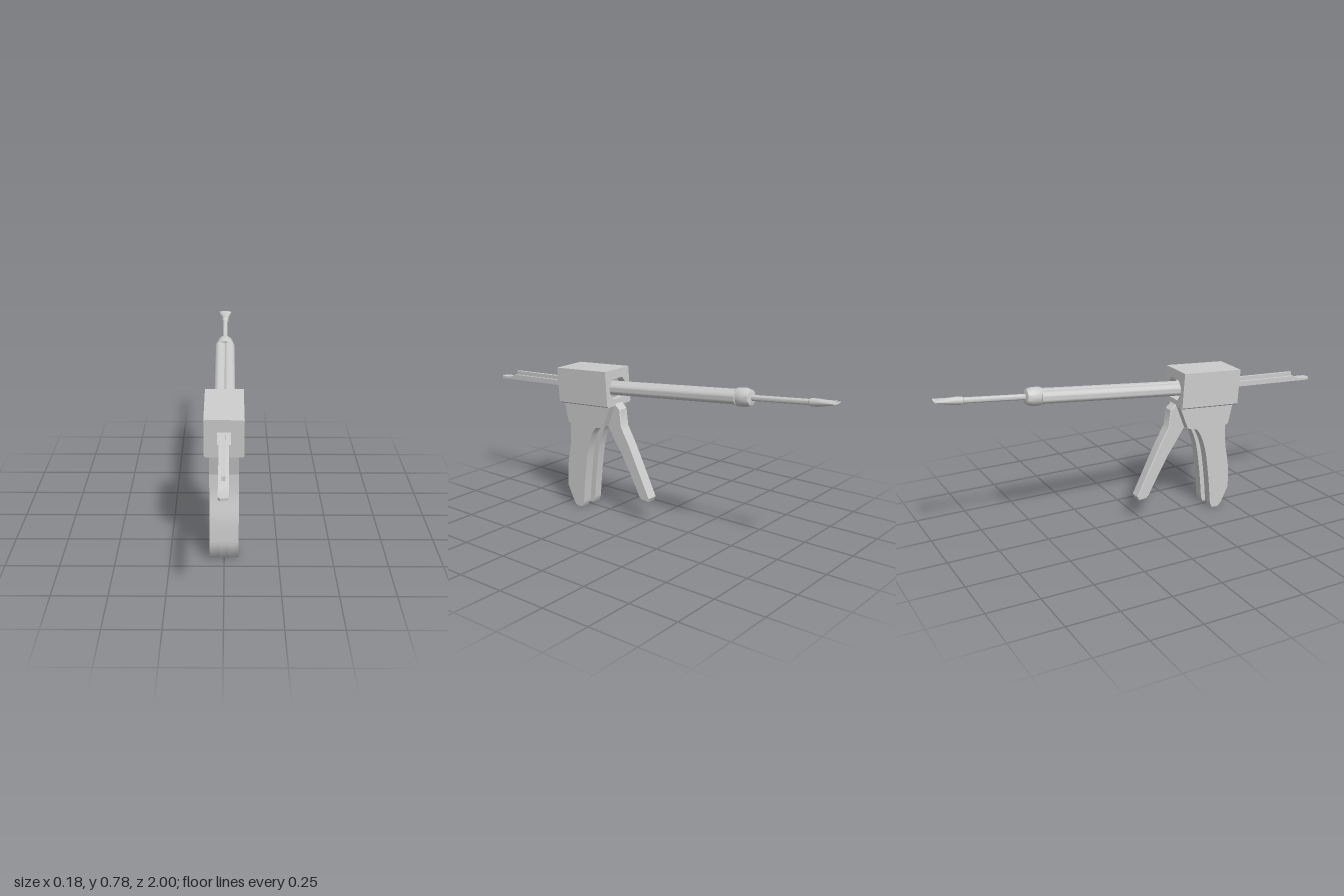
import * as THREE from 'three';
import { toCreasedNormals } from 'three/addons/utils/BufferGeometryUtils.js';

const material = new THREE.MeshStandardMaterial({ color: 0xcccccc });
const openMaterial = new THREE.MeshStandardMaterial({ color: 0xcccccc, side: THREE.DoubleSide });

function addMesh(parent, name, geometry, mat = material) {
  const mesh = new THREE.Mesh(geometry, mat);
  mesh.name = name;
  parent.add(mesh);
  return mesh;
}

const points = (list) => list.map(([a, b]) => new THREE.Vector2(a, b));

// Extrude a side outline of (z, y) points across x, centred on x
function sideProfile(shape, width, x = 0, bevel = 0) {
  const geometry = new THREE.ExtrudeGeometry(shape, {
    depth: width - 2 * bevel, bevelEnabled: bevel > 0, bevelSize: bevel,
    bevelThickness: bevel, bevelOffset: -bevel, bevelSegments: 1, curveSegments: 8,
  });
  geometry.translate(0, 0, -width / 2 + bevel);
  geometry.rotateY(-Math.PI / 2);
  geometry.translate(x, 0, 0);
  return toCreasedNormals(geometry, 0.5);
}

// Revolve (radius, distance) points so that distance runs towards -z
function turned(list, segments = 24) {
  const geometry = new THREE.LatheGeometry(points(list), segments);
  geometry.rotateX(-Math.PI / 2);
  return toCreasedNormals(geometry, 0.6);
}

// Grip outline; inset pushes the rear edge forward to leave the groove
function gripShape(inset) {
  const shape = new THREE.Shape();
  shape.moveTo(0.493, 0.56);
  shape.lineTo(0.466, 0.447);
  shape.lineTo(0.45, 0.44);
  shape.splineThru(points([[0.454, 0.34], [0.474, 0.22], [0.478, 0.1]]));
  shape.lineTo(0.435, 0.014);
  shape.lineTo(0.417, 0);
  shape.lineTo(0.383 + inset * 0.7, 0.002);
  shape.lineTo(0.372 + inset, 0.025);
  shape.splineThru(points([[0.358, 0.17], [0.337, 0.315], [0.31, 0.4], [0.283, 0.444]]
    .map(([z, y]) => [z + inset, y])));
  shape.lineTo(0.23 + inset, 0.458);
  shape.lineTo(0.187 + inset, 0.57);
  return shape;
}

// Housing block sliced into slabs, each with its own opening
function buildHousing() {
  const housing = new THREE.Group();
  housing.name = 'housing';
  housing.position.set(0, 0.6465, 0.349);
  housing.rotation.x = 0.073;
  const w = 0.088, h = 0.0895, c = 0.006;
  const rect = (x, y0, y1) => [[-x, y0], [x, y0], [x, y1], [-x, y1]];
  const rearHole = [[-0.036, -0.056], [0.036, -0.056], [0.062, -0.02], [0.062, 0.01],
    [0.036, 0.044], [-0.036, 0.044], [-0.062, 0.01], [-0.062, -0.02]];
  const slabs = [
    ['housingFront', 0.12, 0.16, rect(0.03, -0.03, 0.032)],
    ['housingMiddle', -0.12, 0.12, rect(0.075, -0.075, 0.075)],
    ['housingRear', -0.16, -0.12, rearHole],
  ];
  for (const [name, z0, z1, hole] of slabs) {
    const shape = new THREE.Shape(points([[-w + c, -h], [w - c, -h], [w, -h + c],
      [w, h], [-w, h], [-w, -h + c]]));
    shape.holes.push(new THREE.Path(points(hole)));
    const geometry = new THREE.ExtrudeGeometry(shape, { depth: z1 - z0, bevelEnabled: false });
    addMesh(housing, name, geometry).position.z = z0;
  }
  return housing;
}

// Twin barrels, end collar, rod and flared nozzle on one tilted axis
function buildBarrel() {
  const barrel = new THREE.Group();
  barrel.name = 'barrelAssembly';
  barrel.position.set(0, 0.653, 0.19);
  barrel.rotation.x = 0.099;
  for (const side of [-1, 1]) {
    addMesh(barrel, side > 0 ? 'leftBarrel' : 'rightBarrel',
      turned([[0, -0.1], [0.03, -0.1], [0.03, 0.715], [0, 0.715]])).position.x = side * 0.021;
  }
  addMesh(barrel, 'collar', turned([[0, 0.698], [0.037, 0.698], [0.043, 0.715],
    [0.043, 0.752], [0.035, 0.777], [0.016, 0.782], [0, 0.782]]));
  addMesh(barrel, 'rod', turned([[0, 0.77], [0.0135, 0.77], [0.0135, 1.09], [0, 1.09]], 16));

  // Nozzle: an open tube that widens sideways and flattens towards the mouth
  const length = 0.122;
  const nozzle = new THREE.CylinderGeometry(1, 1, length, 20, 8, true);
  nozzle.rotateX(-Math.PI / 2);
  const p = nozzle.attributes.position;
  for (let i = 0; i < p.count; i++) {
    const t = 0.5 - p.getZ(i) / length;
    const flare = Math.max(0, (t - 0.25) / 0.75);
    p.setX(i, p.getX(i) * (0.018 + 0.016 * flare ** 1.4));
    p.setY(i, p.getY(i) * (0.018 - 0.011 * flare) + 0.005 * flare ** 2);
  }
  nozzle.computeVertexNormals();
  addMesh(barrel, 'nozzle', nozzle, openMaterial).position.z = -1.073 - length / 2;
  addMesh(barrel, 'nozzleShoulder', turned([[0.012, 1.066], [0.018, 1.073]], 20), openMaterial);
  return barrel;
}

export function createModel() {
  const model = new THREE.Group();
  model.name = 'applicatorGun';
  model.add(buildHousing(), buildBarrel());

  // Grip: two cheeks with a recessed core between them
  const grip = new THREE.Group();
  grip.name = 'grip';
  model.add(grip);
  for (const side of [-1, 1]) {
    addMesh(grip, side > 0 ? 'leftCheek' : 'rightCheek', sideProfile(gripShape(0), 0.046, side * 0.043));
  }
  addMesh(grip, 'gripCore', sideProfile(gripShape(0.03), 0.04));

  // Trigger lever
  const lever = new THREE.Shape();
  lever.moveTo(0.21, 0.58);
  lever.lineTo(0.24, 0.46);
  lever.splineThru(points([[0.19, 0.385], [0.14, 0.312], [0.07, 0.19], [0.035, 0.125]]));
  lever.lineTo(0.02, 0.112);
  lever.lineTo(-0.02, 0.108);
  lever.lineTo(-0.03, 0.13);
  lever.lineTo(-0.012, 0.165);
  lever.splineThru(points([[0.04, 0.27], [0.09, 0.37], [0.145, 0.467]]));
  lever.lineTo(0.155, 0.552);
  lever.lineTo(0.185, 0.58);
  addMesh(model, 'trigger', sideProfile(lever, 0.056, 0, 0.004));

  // Plunger: flat rail with a thinned, rounded tab and an upright fin
  const plunger = new THREE.Group();
  plunger.name = 'plunger';
  model.add(plunger);
  const rail = new THREE.Shape(points([[0.25, 0.632], [0.975, 0.588], [0.975, 0.6],
    [0.93, 0.603], [0.895, 0.619], [0.25, 0.657]]));
  addMesh(plunger, 'rail', sideProfile(rail, 0.044));
  const tab = new THREE.Shape(points([[-0.022, 0], [0.022, 0], [0.022, 0.016],
    [0.013, 0.025], [-0.013, 0.025], [-0.022, 0.016]]));
  const tabGeometry = new THREE.ExtrudeGeometry(tab, { depth: 0.012, bevelEnabled: false });
  tabGeometry.rotateX(Math.PI / 2);
  const tabMesh = addMesh(plunger, 'tabEnd', tabGeometry);
  tabMesh.position.set(0, 0.6, 0.975);
  tabMesh.rotation.x = 0.06;
  const fin = new THREE.Shape(points([[0.25, 0.65], [0.89, 0.612], [0.89, 0.639], [0.25, 0.676]]));
  addMesh(plunger, 'fin', sideProfile(fin, 0.015));

  return model;
}
